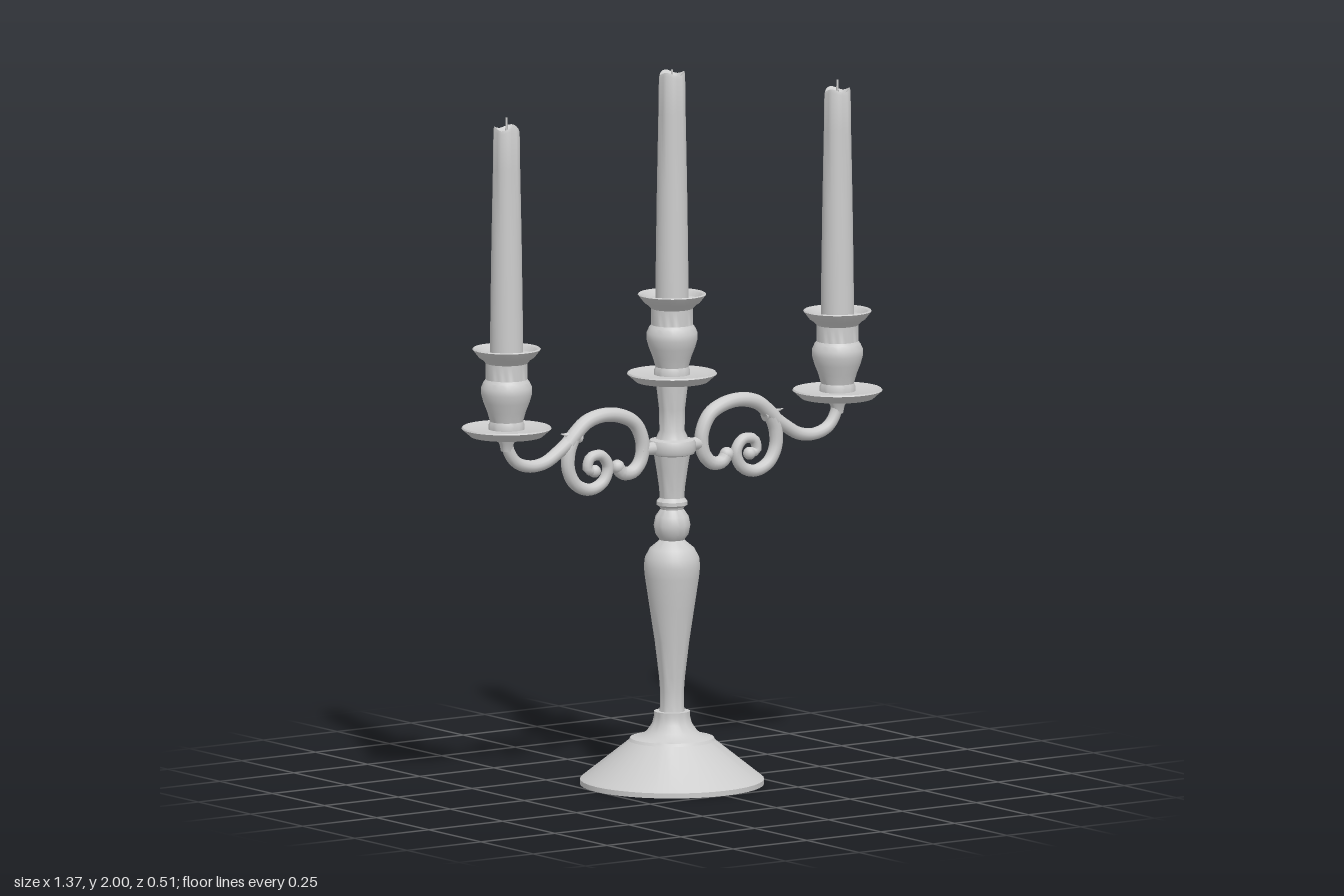
import * as THREE from 'three';
import { toCreasedNormals } from 'three/addons/utils/BufferGeometryUtils.js';

const silver = new THREE.MeshStandardMaterial({ color: 0xcccccc });
silver.name = 'silverGrey';

function mesh(geometry, name) {
  const m = new THREE.Mesh(geometry, silver);
  m.name = name;
  return m;
}

// Turned part from [radius, height] pairs, listed bottom to top
function turned(profile, name, sides = 32) {
  const points = profile.map(([r, y]) => new THREE.Vector2(r, y));
  return mesh(toCreasedNormals(new THREE.LatheGeometry(points, sides), 0.6), name);
}

// Round bar along a curve in the xy plane, its radius changing from r0 to r1
function taperedBar(points, r0, r1, name) {
  const curve = new THREE.CatmullRomCurve3(points.map(([x, y]) => new THREE.Vector3(x, y, 0)));
  const steps = 48, sides = 12;
  const geometry = new THREE.TubeGeometry(curve, steps, 1, sides);
  const pos = geometry.attributes.position;
  const v = new THREE.Vector3();
  for (let i = 0; i <= steps; i++) {
    const c = curve.getPointAt(i / steps);
    const r = r0 + (r1 - r0) * i / steps;
    for (let j = 0; j <= sides; j++) {
      const k = i * (sides + 1) + j;
      v.fromBufferAttribute(pos, k).sub(c).multiplyScalar(r).add(c);
      pos.setXYZ(k, v.x, v.y, v.z);
    }
  }
  return mesh(geometry, name);
}

function ball(x, y, r, name) {
  const m = mesh(new THREE.SphereGeometry(r, 14, 10), name);
  m.position.set(x, y, 0);
  return m;
}

// Drip plate, cup, rim dish and candle; y = 0 is the underside of the plate
function candleHolder(name, wickTop) {
  const group = new THREE.Group();
  group.name = name;
  group.add(turned([
    [0, 0], [0.1, 0], [0.125, 0.022], [0.122, 0.026], [0.1, 0.02], [0, 0.02],
  ], 'dripPlate'));
  group.add(turned([
    [0, 0.018], [0.05, 0.018], [0.05, 0.032], [0.046, 0.042], [0.054, 0.07], [0.064, 0.095],
    [0.071, 0.12], [0.071, 0.137], [0.064, 0.152], [0.058, 0.16], [0.058, 0.205], [0.066, 0.214],
    [0.078, 0.222], [0.095, 0.244], [0.092, 0.247], [0.084, 0.244], [0.074, 0.23], [0, 0.23],
  ], 'candleCup'));

  // Candle with a hollow, slightly uneven top
  const candle = turned([
    [0, 0.22], [0.046, 0.22], [0.045, 0.35], [0.042, 0.55], [0.038, 0.75], [0.0365, 0.855],
    [0.034, 0.864], [0.028, 0.858], [0.015, 0.846], [0, 0.844],
  ], 'candle', 24);
  const pos = candle.geometry.attributes.position;
  for (let i = 0; i < pos.count; i++) {
    const x = pos.getX(i), y = pos.getY(i), z = pos.getZ(i);
    if (y > 0.852) pos.setY(i, y + 0.005 * Math.sin(3 * Math.atan2(z, x)));
  }
  group.add(candle);

  const wick = mesh(new THREE.CylinderGeometry(0.003, 0.004, wickTop - 0.84, 6), 'wick');
  wick.position.y = (wickTop + 0.84) / 2;
  group.add(wick);
  return group;
}

// Scrolled arm reaching towards +x
function scrollArm(name) {
  const group = new THREE.Group();
  group.name = name;
  group.add(taperedBar([
    [0.185, 0.905], [0.168, 0.886], [0.135, 0.886], [0.107, 0.915], [0.1, 0.965], [0.125, 1.02],
    [0.175, 1.047], [0.235, 1.054], [0.29, 1.04], [0.33, 1.008], [0.352, 0.985],
  ], 0.019, 0.021, 'archScroll'));
  group.add(taperedBar([
    [0.335, 1.0], [0.35, 0.96], [0.35, 0.91], [0.325, 0.868], [0.278, 0.85], [0.233, 0.868],
    [0.217, 0.91], [0.24, 0.942], [0.277, 0.938], [0.285, 0.908], [0.262, 0.9],
  ], 0.02, 0.014, 'innerScroll'));
  group.add(taperedBar([
    [0.56, 1.03], [0.553, 0.985], [0.527, 0.95], [0.48, 0.934], [0.43, 0.94], [0.385, 0.965], [0.34, 0.997],
  ], 0.016, 0.019, 'outerArm'));
  group.add(ball(0.185, 0.905, 0.02, 'archScrollEnd'), ball(0.262, 0.9, 0.018, 'innerScrollEnd'));

  // Pointed leaf where the scrolls meet
  const leaf = mesh(new THREE.ConeGeometry(0.017, 0.07, 10), 'leafTip');
  leaf.position.set(0.345, 1.008, 0);
  leaf.rotation.z = -1.35;
  group.add(leaf);

  // Pin joining the arm to the collar
  const pin = mesh(new THREE.CylinderGeometry(0.018, 0.018, 0.07, 12), 'collarPin');
  pin.position.set(0.075, 0.945, 0);
  pin.rotation.z = Math.PI / 2;
  group.add(pin);

  // Flared neck under the drip plate
  const neck = turned([[0, 0.985], [0.016, 0.985], [0.02, 1.005], [0.034, 1.03], [0, 1.03]], 'armNeck', 16);
  neck.position.x = 0.56;
  group.add(neck);

  const holder = candleHolder('sideHolder', 0.892);
  holder.position.set(0.56, 1.027, 0);
  group.add(holder);
  return group;
}

export function createModel() {
  const model = new THREE.Group();
  model.name = 'candelabra';

  // Broad stepped foot
  model.add(turned([
    [0, 0], [0.255, 0], [0.255, 0.014], [0.248, 0.02], [0.12, 0.122], [0.116, 0.13], [0.092, 0.132],
    [0.07, 0.148], [0.055, 0.17], [0.05, 0.19], [0.05, 0.204], [0, 0.204],
  ], 'foot', 40));

  // Baluster, ball and upper column
  model.add(turned([
    [0, 0.2], [0.036, 0.2], [0.033, 0.22], [0.033, 0.26], [0.036, 0.3], [0.048, 0.4], [0.063, 0.5],
    [0.075, 0.58], [0.078, 0.61], [0.075, 0.635], [0.062, 0.66], [0.04, 0.678], [0.034, 0.684],
    [0.046, 0.7], [0.051, 0.725], [0.046, 0.75], [0.032, 0.77], [0.034, 0.776], [0.043, 0.782],
    [0.043, 0.792], [0.034, 0.802], [0.036, 0.83], [0.043, 0.88], [0.05, 0.922], [0.062, 0.926],
    [0.066, 0.935], [0.066, 0.955], [0.062, 0.964], [0.045, 0.968], [0.035, 0.99], [0.036, 1.05],
    [0.043, 1.11], [0.044, 1.132], [0, 1.132],
  ], 'stem'));

  const top = candleHolder('centreHolder', 0.873);
  top.position.y = 1.127;
  model.add(top);

  // Mirrored pair of arms
  const leftArm = scrollArm('leftArm');
  const rightArm = scrollArm('rightArm');
  rightArm.rotation.y = Math.PI;
  model.add(leftArm, rightArm);
  return model;
}
